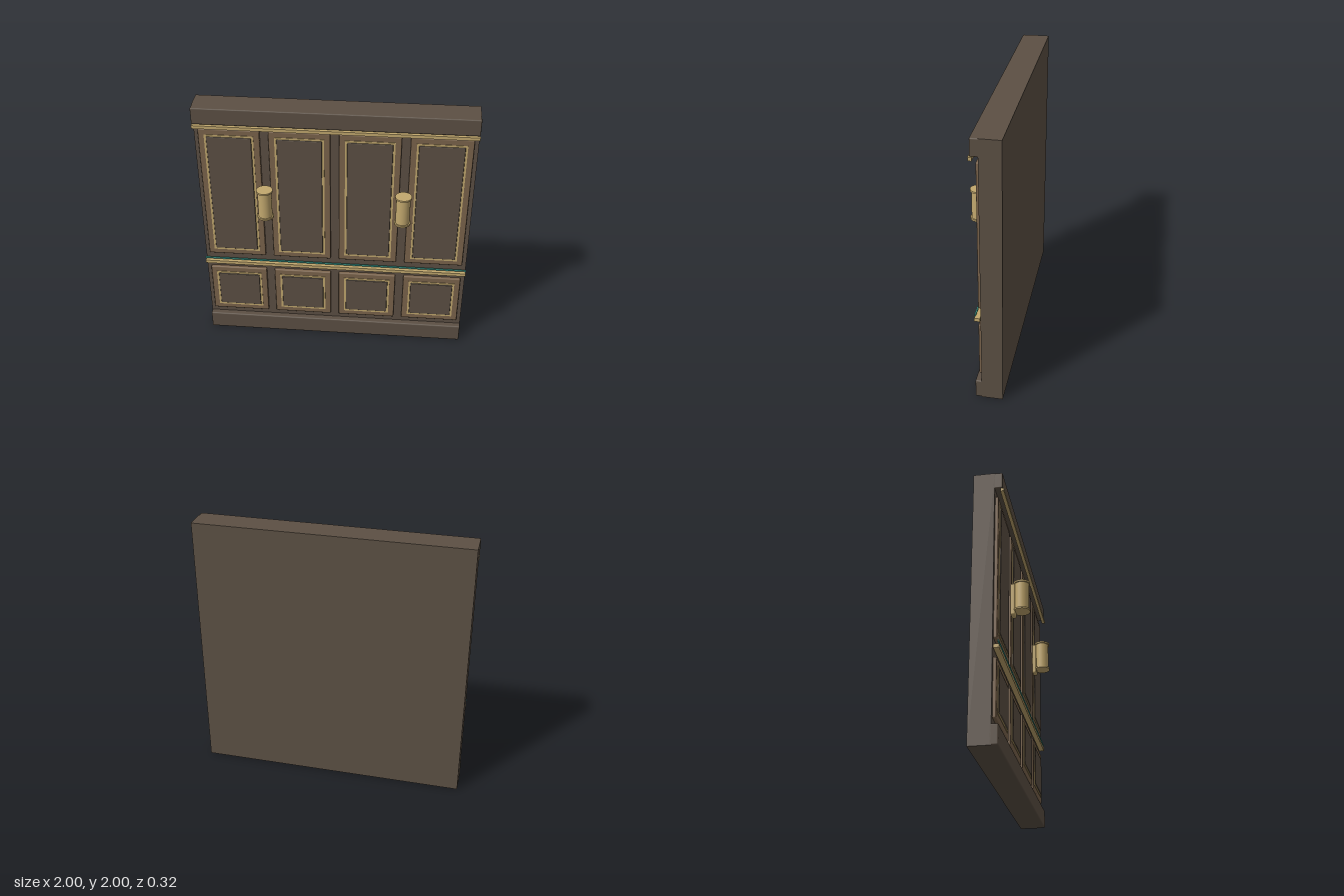
import * as THREE from 'three';
import { RoundedBoxGeometry } from 'three/addons/geometries/RoundedBoxGeometry.js';

const mat = (name, color) => {
  const m = new THREE.MeshStandardMaterial({ color });
  m.name = name;
  return m;
};

export function createModel() {
  const darkWood = mat('dark wood', 0x5c5044);
  const lightWood = mat('light wood', 0x7b644c);
  const brass = mat('brass', 0xc2a86e);
  const teal = mat('teal', 0x45b5a5);

  const root = new THREE.Group();
  root.name = 'wallPanel';

  // Box given by its extents, with optional rounded edges
  function block(parent, name, material, [x0, x1], [y0, y1], [z0, z1], radius = 0) {
    const size = [x1 - x0, y1 - y0, z1 - z0];
    const geo = radius
      ? new RoundedBoxGeometry(...size, 2, radius)
      : new THREE.BoxGeometry(...size);
    const mesh = new THREE.Mesh(geo, material);
    mesh.name = name;
    mesh.position.set((x0 + x1) / 2, (y0 + y1) / 2, (z0 + z1) / 2);
    parent.add(mesh);
  }

  // Wall slab, cornice and skirting
  const full = [-1, 1];
  block(root, 'wallSlab', darkWood, full, [0, 2], [-0.16, -0.01]);
  block(root, 'cornice', darkWood, full, [1.875, 2], [-0.03, 0.045], 0.008);
  block(root, 'skirting', darkWood, full, [0, 0.14], [-0.03, 0.035], 0.01);

  // Horizontal rails
  block(root, 'upperRail', brass, full, [1.846, 1.87], [0.03, 0.055]);
  block(root, 'chairRail', brass, full, [0.65, 0.676], [-0.005, 0.034]);
  block(root, 'accentStrip', teal, full, [0.695, 0.706], [0.022, 0.031]);

  // Raised panel: light wood moulding, brass inlay, dark field
  function panel(name, x, y0, y1) {
    const g = new THREE.Group();
    g.name = name;
    const layer = (part, material, inset, front, radius) =>
      block(g, part, material, [x - 0.219 + inset, x + 0.219 - inset],
        [y0 + inset, y1 - inset], [-0.02, front], radius);
    layer('moulding', lightWood, 0, 0.013, 0.008);
    layer('inlay', brass, 0.043, 0.017);
    layer('field', darkWood, 0.058, 0.023, 0.006);
    root.add(g);
  }
  for (const x of [-0.75, -0.25, 0.25, 0.75]) {
    panel('upperPanel', x, 0.736, 1.824);
    panel('lowerPanel', x, 0.187, 0.602);
  }

  // Wall lamps: back plate, cylinder and two rims
  for (const x of [-0.5, 0.5]) {
    const lamp = new THREE.Group();
    lamp.name = 'wallLamp';
    block(lamp, 'backPlate', brass, [x - 0.036, x + 0.036], [1.13, 1.38], [0.02, 0.053], 0.01);
    const drum = (name, radius, y0, y1) => {
      const mesh = new THREE.Mesh(
        new THREE.CylinderGeometry(radius, radius, y1 - y0, 24), brass);
      mesh.name = name;
      mesh.position.set(x, (y0 + y1) / 2, 0.097);
      lamp.add(mesh);
    };
    drum('shade', 0.051, 1.17, 1.385);
    drum('topRim', 0.06, 1.38, 1.393);
    drum('bottomRim', 0.06, 1.163, 1.176);
    root.add(lamp);
  }
  return root;
}
